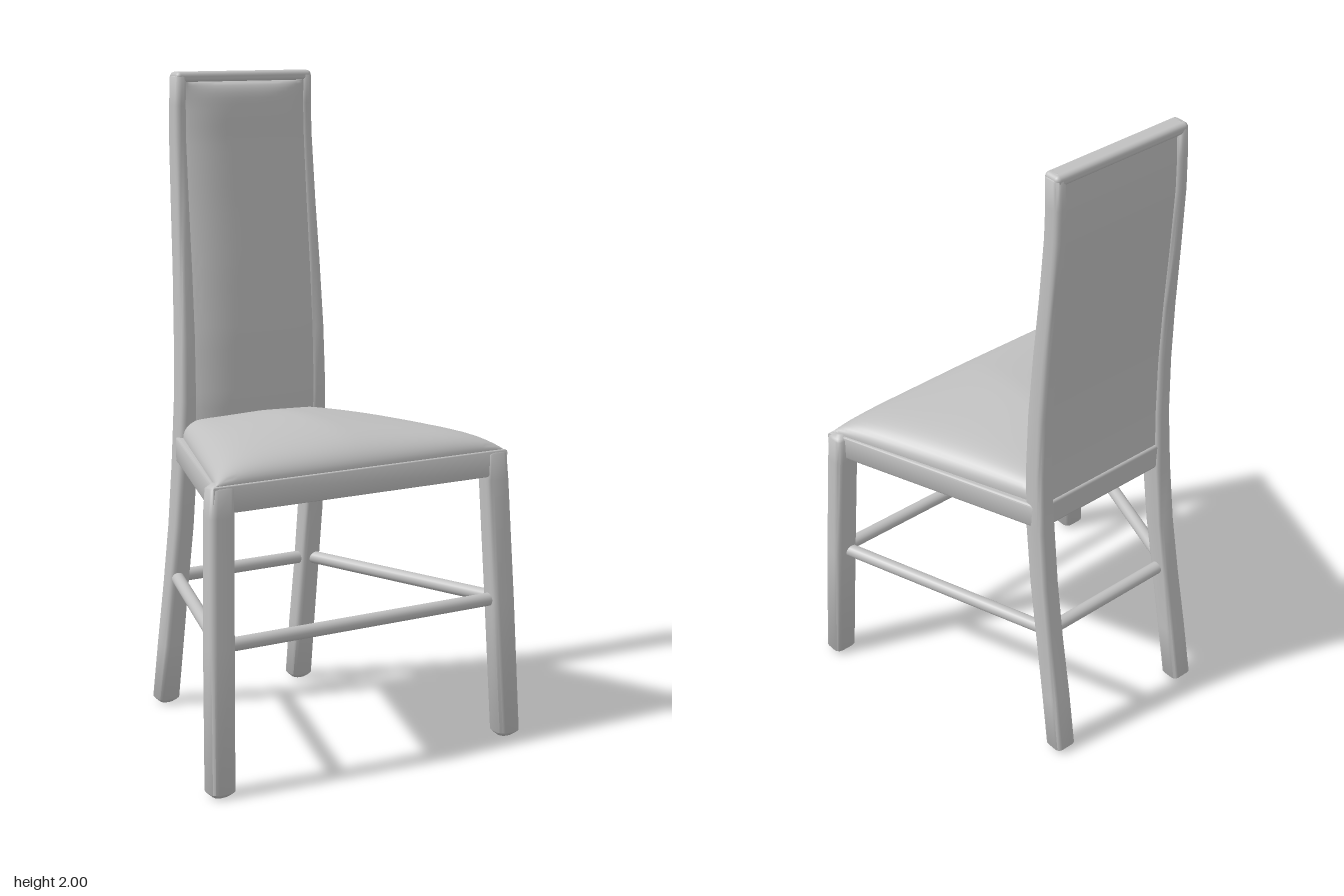
import * as THREE from 'three';
import { toCreasedNormals } from 'three/addons/utils/BufferGeometryUtils.js';
import { RoundedBoxGeometry } from 'three/addons/geometries/RoundedBoxGeometry.js';

// Back post rows: height, front z, back z, inner x, outer x
const POST = [
  [0.015, -0.372, -0.438, 0.212, 0.284], [0.2, -0.343, -0.41, 0.209, 0.279],
  [0.4, -0.31, -0.376, 0.207, 0.274], [0.6, -0.277, -0.347, 0.204, 0.269],
  [0.8, -0.255, -0.328, 0.202, 0.265], [1.0, -0.247, -0.318, 0.205, 0.26],
  [1.2, -0.253, -0.321, 0.204, 0.256], [1.4, -0.268, -0.333, 0.203, 0.251],
  [1.6, -0.287, -0.35, 0.202, 0.246], [1.8, -0.303, -0.364, 0.201, 0.242],
  [1.9, -0.305, -0.365, 0.2, 0.24], [1.985, -0.302, -0.361, 0.2, 0.239],
];

function postAt(y) {
  let i = 0;
  while (i < POST.length - 2 && POST[i + 1][0] < y) i++;
  const a = POST[i], b = POST[i + 1];
  const t = Math.min(1, (y - a[0]) / (b[0] - a[0]));
  return a.map((v, k) => THREE.MathUtils.lerp(v, b[k], t));
}

// Skins rounded-rectangle sections given as [y, frontZ, backZ, innerX, outerX], with rounded ends
function loft(rows, radius) {
  const first = rows[0], last = rows[rows.length - 1];
  const inset = (r, dy, d) => [r[0] + dy, r[1] - d, r[2] + d, r[3] + d, r[4] - d];
  const all = [inset(first, -0.015, 0.015), inset(first, -0.006, 0.005), ...rows,
    inset(last, 0.006, 0.005), inset(last, 0.015, 0.015)];
  const pos = [], index = [], n = 16;
  for (const [y, zf, zb, x0, x1] of all) {
    const cx = (x0 + x1) / 2, cz = (zf + zb) / 2;
    const hw = (x1 - x0) / 2, hd = (zf - zb) / 2, r = Math.min(radius, hw, hd);
    for (let k = 0; k < n; k++) {
      const q = Math.floor(k / 4), a = (q + (k % 4) / 3) * Math.PI / 2;
      const sx = q === 0 || q === 3 ? 1 : -1, sz = q < 2 ? 1 : -1;
      pos.push(cx + sx * (hw - r) + r * Math.cos(a), y, cz + sz * (hd - r) + r * Math.sin(a));
    }
  }
  for (let j = 0; j < all.length - 1; j++) {
    for (let k = 0; k < n; k++) {
      const a = j * n + k, b = j * n + (k + 1) % n;
      index.push(a, a + n, b, b, a + n, b + n);
    }
  }
  const top = (all.length - 1) * n;
  for (let k = 1; k < n - 1; k++) index.push(0, k, k + 1, top, top + k + 1, top + k);
  const g = new THREE.BufferGeometry();
  g.setAttribute('position', new THREE.Float32BufferAttribute(pos, 3));
  g.setIndex(index);
  return toCreasedNormals(g, 0.9);
}

// Reshapes a box whose vertices run from -1 to 1 on each axis
function moulded(sx, sy, sz, rule) {
  const g = new THREE.BoxGeometry(2, 2, 2, sx, sy, sz);
  const p = g.attributes.position;
  for (let i = 0; i < p.count; i++) p.setXYZ(i, ...rule(p.getX(i), p.getY(i), p.getZ(i)));
  return toCreasedNormals(g, 0.8);
}

const roundOff = (u, power) => Math.sqrt(Math.max(0, 1 - Math.pow(Math.abs(u), power)));

export function createModel() {
  const chair = new THREE.Group();
  chair.name = 'diningChair';
  const grey = new THREE.MeshStandardMaterial({ color: 0xc0c0c0 });
  grey.name = 'lightGrey';
  const add = (name, geometry) => {
    const m = new THREE.Mesh(geometry, grey);
    m.name = name;
    chair.add(m);
    return m;
  };

  // Front legs and back posts, mirrored
  const frontRows = [[0.015, 0.44, 0.372, 0.46, 0.537], [0.43, 0.416, 0.35, 0.446, 0.526],
    [0.8, 0.395, 0.33, 0.432, 0.512], [0.88, 0.391, 0.33, 0.43, 0.506]];
  const mirrorRows = rows => rows.map(([y, f, b, i, o]) => [y, f, b, -o, -i]);
  add('leftFrontLeg', loft(frontRows, 0.018));
  add('rightFrontLeg', loft(mirrorRows(frontRows), 0.018));
  add('leftBackPost', loft(POST, 0.016));
  add('rightBackPost', loft(mirrorRows(POST), 0.016));

  // Tapered seat frame, open in the middle
  const outline = (path, wf, wb, zf, zb) => {
    path.moveTo(-wf, -zf);
    path.lineTo(wf, -zf);
    path.lineTo(wb, -zb);
    path.lineTo(-wb, -zb);
    path.closePath();
    return path;
  };
  const frame = outline(new THREE.Shape(), 0.493, 0.248, 0.382, -0.308);
  frame.holes.push(outline(new THREE.Path(), 0.43, 0.21, 0.335, -0.26));
  const frameGeo = new THREE.ExtrudeGeometry(frame, {
    depth: 0.064, bevelThickness: 0.008, bevelSize: 0.008, bevelSegments: 3 });
  frameGeo.rotateX(-Math.PI / 2).translate(0, 0.818, 0);
  add('seatFrame', toCreasedNormals(frameGeo, 0.7));

  // Domed seat cushion with a flat underside
  add('seatCushion', moulded(40, 1, 40, (u, s, v) => {
    // Crowd the grid towards the rim
    const cu = Math.sin(u * Math.PI / 2), cv = Math.sin(v * Math.PI / 2);
    const z = 0.06 + 0.322 * cv;
    const w = THREE.MathUtils.lerp(0.253, 0.492, (cv + 1) / 2);
    const rim = roundOff(cu, 8) * (cv > 0 ? roundOff(cv, 7) : 1);
    const dome = 0.042 * (1 - Math.abs(cu) ** 1.3) * (1 - cv * cv);
    return [cu * w, s > 0 ? 0.89 + 0.057 * rim + dome : 0.865, z];
  }));

  // Padded back panel, bulging forward and set in slightly behind
  add('backCushion', moulded(28, 44, 1, (u, v, s) => {
    const cu = Math.sin(u * Math.PI / 2), cv = Math.sin(v * Math.PI / 2);
    const y = 1.42 + cv * 0.55;
    const [, front, back, inner] = postAt(y);
    const endRound = cv > 0 ? roundOff(cv, 14) : 1;
    const bulge = 0.042 * (1 - Math.abs(cu) ** 3.5) * endRound;
    return [cu * (inner + 0.008), y, s > 0 ? front - 0.004 + bulge : back + 0.012];
  }));

  // Rails across the top and foot of the back
  add('topRail', new RoundedBoxGeometry(0.474, 0.034, 0.058, 3, 0.014)).position.set(0, 1.983, -0.332);
  add('lowerBackRail', new RoundedBoxGeometry(0.45, 0.085, 0.06, 3, 0.01)).position.set(0, 0.855, -0.288);

  // Round stretchers between the legs
  const stretcher = (name, x0, z0, x1, z1) => {
    const a = new THREE.Vector3(x0, 0.43, z0), b = new THREE.Vector3(x1, 0.43, z1);
    const m = add(name, new THREE.CylinderGeometry(0.02, 0.02, a.distanceTo(b), 20));
    m.position.copy(a).lerp(b, 0.5);
    m.quaternion.setFromUnitVectors(new THREE.Vector3(0, 1, 0), b.sub(a).normalize());
  };
  stretcher('frontStretcher', -0.48, 0.382, 0.48, 0.382);
  stretcher('backStretcher', -0.24, -0.338, 0.24, -0.338);
  stretcher('leftStretcher', 0.48, 0.38, 0.242, -0.335);
  stretcher('rightStretcher', -0.48, 0.38, -0.242, -0.335);

  return chair;
}
